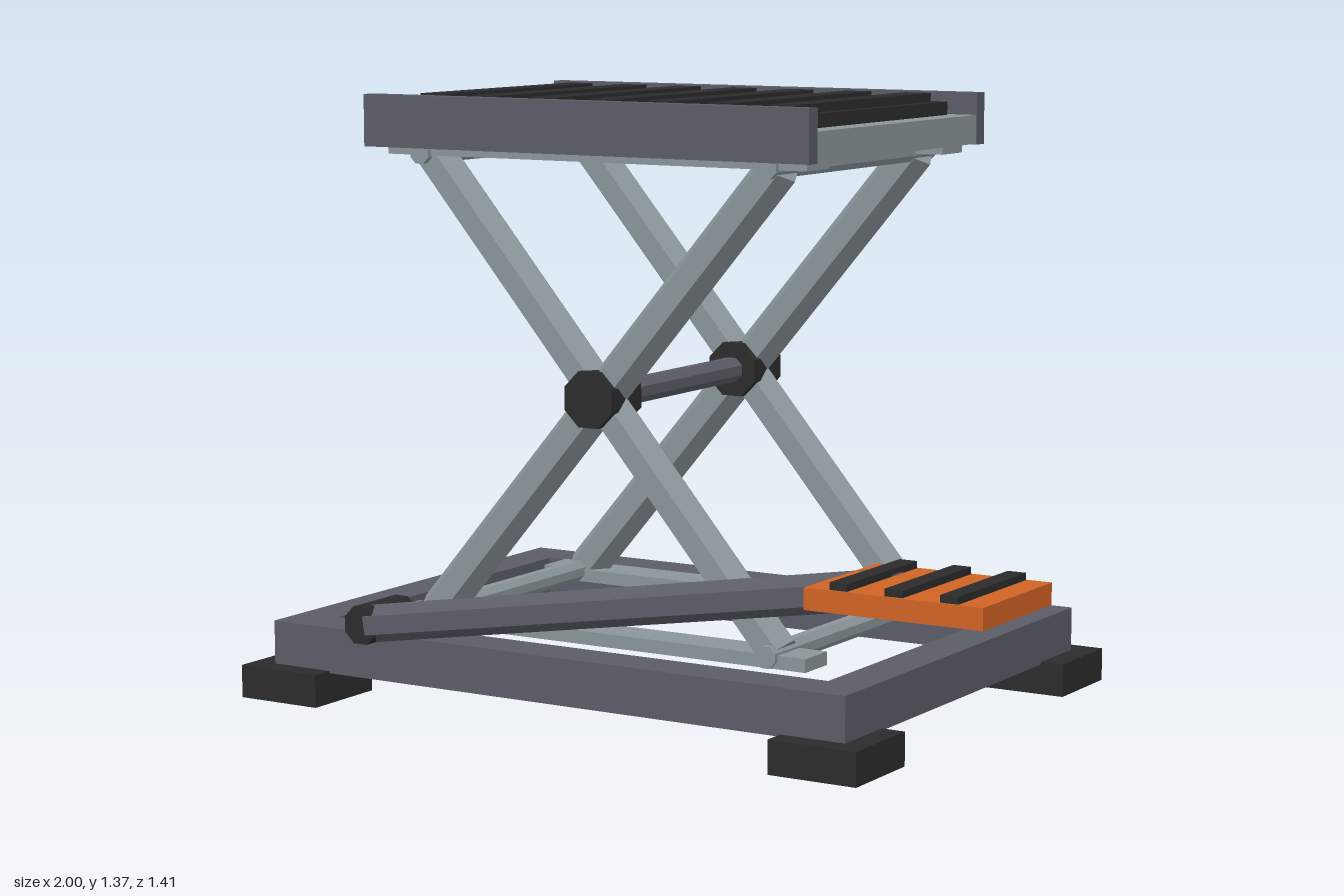
import * as THREE from 'three';

const material = (name, color) => {
  const m = new THREE.MeshStandardMaterial({ color, flatShading: true });
  m.name = name;
  return m;
};

export function createModel() {
  const frameGrey = material('frame grey', 0x5b5c66);
  const steel = material('light steel', 0x8a959a);
  const rubber = material('black rubber', 0x2b2b2b);
  const orange = material('pedal orange', 0xd06324);

  const model = new THREE.Group();
  model.name = 'scissorLiftTable';

  const add = (name, geometry, mat) => {
    const mesh = new THREE.Mesh(geometry, mat);
    mesh.name = name;
    model.add(mesh);
    return mesh;
  };

  // Box given by its extents
  const box = (name, mat, x0, x1, y0, y1, z0, z1) => {
    const mesh = add(name, new THREE.BoxGeometry(x1 - x0, y1 - y0, z1 - z0), mat);
    mesh.position.set((x0 + x1) / 2, (y0 + y1) / 2, (z0 + z1) / 2);
    return mesh;
  };

  // Faceted bar between two points
  const bar = (name, mat, a, b, radius, sides = 6, turn = Math.PI / 2) => {
    const from = new THREE.Vector3(...a), to = new THREE.Vector3(...b);
    const dir = to.clone().sub(from);
    const geometry = new THREE.CylinderGeometry(radius, radius, dir.length(), sides);
    geometry.rotateY(turn);
    const mesh = add(name, geometry, mat);
    mesh.position.copy(from).add(to).multiplyScalar(0.5);
    mesh.quaternion.setFromUnitVectors(new THREE.Vector3(0, 1, 0), dir.normalize());
    return mesh;
  };

  const cx = -0.2, cy = 0.715, cz = -0.113;

  // Rubber feet
  for (const sx of [-1, 1]) for (const sz of [-1, 1]) {
    const x = cx + sx * 0.695, z = cz + sz * 0.485;
    box('foot', rubber, x - 0.105, x + 0.105, 0, 0.075, z - 0.105, z + 0.105);
  }

  // Base frame: long rails, then end rails between them
  for (const s of [-1, 1]) {
    const z = cz + s * 0.485, x = cx + s * 0.695;
    box('baseLongRail', frameGrey, cx - 0.745, cx + 0.745, 0.07, 0.175, z - 0.053, z + 0.053);
    box('baseEndRail', frameGrey, x - 0.05, x + 0.05, 0.07, 0.175, cz - 0.435, cz + 0.435);
  }

  // Crossed arms with pivot hubs and slide rails on both sides
  for (const s of [-1, 1]) {
    const z = cz + s * 0.305;
    for (const d of [-1, 1]) {
      bar('scissorArm', steel, [cx - d * 0.45, cy - 0.525, z], [cx + d * 0.45, cy + 0.525, z], 0.049);
      const y = cy + d * 0.535;
      box('slideRail', steel, cx - 0.543, cx + 0.543, y - 0.015, y + 0.015, z - 0.047, z + 0.047);
    }
    bar('pivotHub', rubber, [cx, cy, z - 0.06], [cx, cy, z + 0.06], 0.067, 8, Math.PI / 8);
  }

  // Cross rods joining the two arm pairs
  bar('pivotAxle', frameGrey, [cx, cy, cz - 0.3], [cx, cy, cz + 0.3], 0.03, 8, Math.PI / 8);
  for (const sx of [-1, 1]) for (const sy of [-1, 1]) {
    const x = cx + sx * 0.45, y = cy + sy * 0.525;
    bar('crossRod', steel, [x, y, cz - 0.362], [x, y, cz + 0.362], 0.026, 8, Math.PI / 8);
  }

  // Platform with raised side lips
  box('platformDeck', steel, cx - 0.573, cx + 0.573, 1.255, 1.32, cz - 0.396, cz + 0.396);
  for (const s of [-1, 1]) {
    const z = cz + s * 0.381;
    box('platformLip', frameGrey, cx - 0.575, cx + 0.575, 1.253, 1.37, z - 0.018, z + 0.018);
  }

  // Ribbed mat
  box('mat', rubber, cx - 0.515, cx + 0.515, 1.315, 1.35, cz - 0.333, cz + 0.333);
  for (let i = -3; i <= 3; i++) {
    const x = cx + i * 0.152;
    box('matRib', rubber, x - 0.033, x + 0.033, 1.345, 1.37, cz - 0.302, cz + 0.302);
  }

  // Foot lever and its pivot
  bar('leverPivot', rubber, [-0.625, 0.215, 0.37], [-0.625, 0.215, 0.525], 0.045, 8, Math.PI / 8);
  bar('lever', frameGrey, [-0.615, 0.215, 0.49], [0.705, 0.428, 0.49], 0.042);

  // Pedal with grip strips
  box('pedal', orange, 0.605, 1, 0.41, 0.455, 0.403, 0.703);
  for (const x of [0.68, 0.803, 0.925]) {
    box('pedalGrip', rubber, x - 0.02, x + 0.02, 0.45, 0.47, 0.408, 0.698);
  }

  return model;
}
